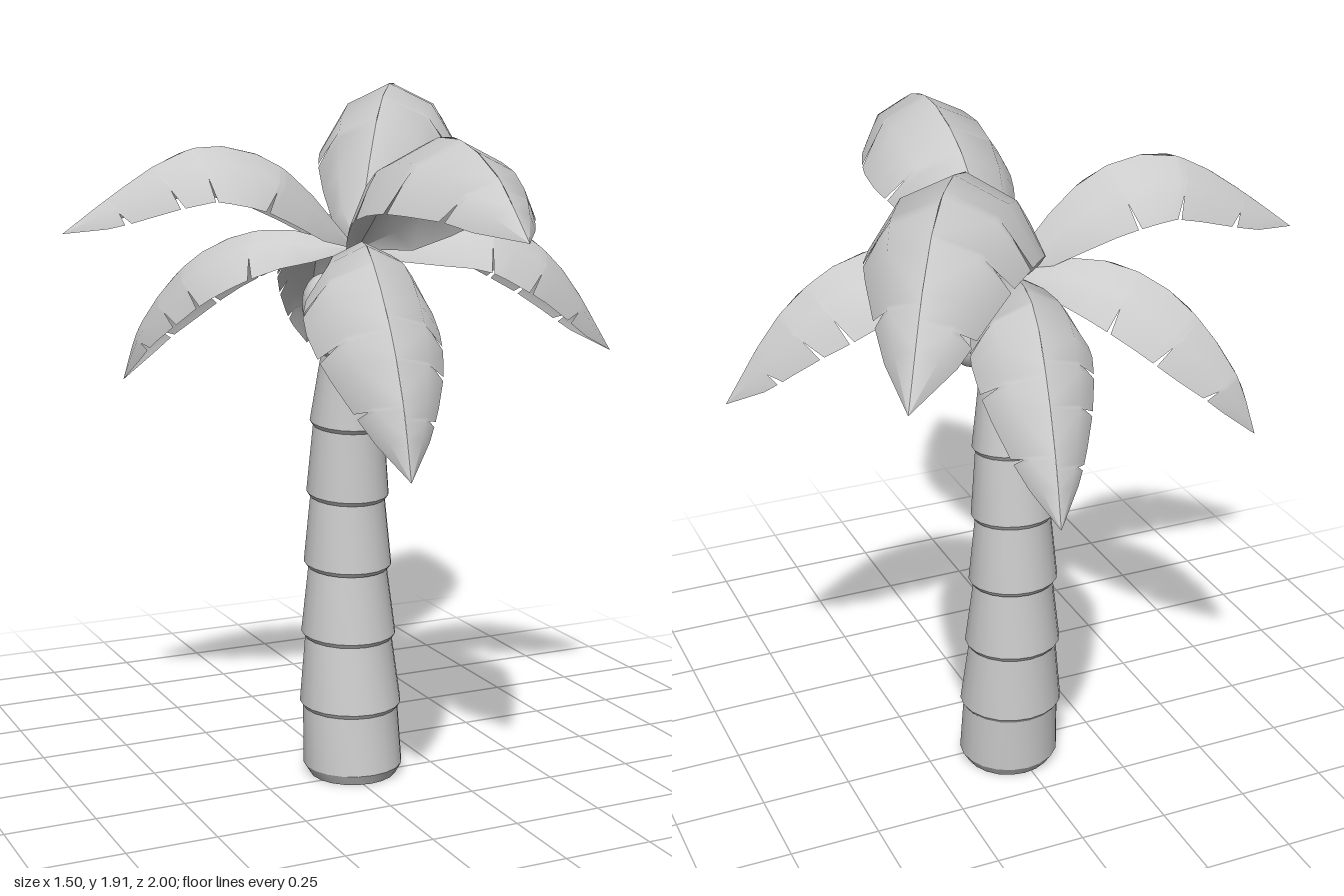
import * as THREE from 'three';
import { toCreasedNormals } from 'three/addons/utils/BufferGeometryUtils.js';

const grey = new THREE.MeshStandardMaterial({ color: 0xcccccc });
const thinGrey = new THREE.MeshStandardMaterial({ color: 0xcccccc, side: THREE.DoubleSide });
const CROWN = new THREE.Vector3(0.03, 1.48, -0.03);
const UP = new THREE.Vector3(0, 1, 0);

// Trunk: one hollow lathe of stacked, tapering collars, bent along a gentle curve
function makeTrunk() {
  const bottomR = [0.14, 0.143, 0.133, 0.123, 0.115, 0.108, 0.088];
  const topR = [0.134, 0.122, 0.11, 0.104, 0.099, 0.082, 0.06];
  const profile = [[0.122, 0]];
  bottomR.forEach((r, i) => {
    const y = i * 0.2;
    profile.push([i ? r - 0.008 : r, y + (i ? -0.006 : 0.03)]);
    if (i) profile.push([r, y + 0.006]);
    profile.push([topR[i], i === 6 ? 1.46 : y + 0.194]);
  });
  profile.push([0, 1.47]);
  const geo = new THREE.LatheGeometry(profile.map(p => new THREE.Vector2(...p)), 20);

  const bend = new THREE.CatmullRomCurve3(
    [-0.04, -0.057, -0.07, -0.075, -0.075, -0.067, -0.052, -0.035].map((z, i) => new THREE.Vector3(0, i * 0.2, z)),
    false, 'catmullrom');
  const pos = geo.attributes.position;
  for (let i = 0; i < pos.count; i++) {
    const y = pos.getY(i), z = pos.getZ(i);
    const centre = bend.getPoint(Math.min(1, y / 1.4));
    const tilt = 0.1 * Math.min(1, y / 0.8);
    pos.setXYZ(i, pos.getX(i) + 0.022, y - z * tilt, z + centre.z);
  }
  const mesh = new THREE.Mesh(toCreasedNormals(geo, 0.5), thinGrey);
  mesh.name = 'trunk';
  return mesh;
}

// Half of a frond: rows along the spine, three points from the spine to the drooping edge
function makeBlade(spine, side, width, sign, notches) {
  const rows = [];
  for (let i = 0; i <= 10; i++) {
    const s = i / 10;
    if (!notches.some(n => Math.abs(n - s) < 0.02)) rows.push({ s, cut: false });
  }
  for (const n of notches) {
    rows.push({ s: n - 0.008, cut: false }, { s: n, cut: true }, { s: n + 0.008, cut: false });
  }
  rows.sort((a, b) => a.s - b.s);

  const verts = [], index = [];
  rows.forEach(({ s, cut }, i) => {
    const p = spine.getPointAt(s);
    const normal = spine.getTangentAt(s).cross(side).normalize();
    const w = width * Math.pow(Math.max(0, Math.sin(Math.PI * Math.pow(s, 0.92))), 0.75);
    const section = [[0, 0], [0.62, 0.3], cut ? [0.76, 0.5] : [1, 0.93]];
    for (const [out, drop] of section) {
      const v = p.clone().addScaledVector(side, sign * out * w).addScaledVector(normal, -drop * w);
      verts.push(v.x, v.y, v.z);
    }
    if (i === rows.length - 1) return;
    for (let j = 0; j < 2; j++) {
      const a = i * 3 + j, b = a + 1, c = a + 3, d = a + 4;
      if (sign > 0) index.push(a, c, b, b, c, d);
      else index.push(a, b, c, b, d, c);
    }
  });
  const geo = new THREE.BufferGeometry();
  geo.setAttribute('position', new THREE.Float32BufferAttribute(verts, 3));
  geo.setIndex(index);
  geo.computeVertexNormals();
  return new THREE.Mesh(geo, thinGrey);
}

// Frond: arching spine from the crown to the tip, with two notched blades
function makeFrond({ tip, arch, width, bow }) {
  const [dx, dz] = [tip[0] - CROWN.x, tip[1] - CROWN.z];
  const side = UP.clone().cross(new THREE.Vector3(dx, 0, dz)).normalize();
  const spine = new THREE.CatmullRomCurve3([[0, 0], ...arch].map(([s, h]) =>
    new THREE.Vector3(dx * s, h, dz * s).add(CROWN).addScaledVector(side, bow * Math.sin(Math.PI * s))));
  const frond = new THREE.Group();
  frond.name = 'frond';
  const left = makeBlade(spine, side, width, 1, [0.32, 0.58, 0.7, 0.85]);
  const right = makeBlade(spine, side, width, -1, [0.4, 0.62, 0.82]);
  left.name = 'leftBlade';
  right.name = 'rightBlade';
  frond.add(left, right);
  return frond;
}

export function createModel() {
  const palm = new THREE.Group();
  palm.name = 'palmTree';
  palm.add(makeTrunk());

  // Tip (x, z); arch as (fraction of the reach, height above the crown); half width; sideways bow
  const fronds = [
    { tip: [0.66, -1.0], width: 0.2, bow: -0.02,
      arch: [[0.13, 0.19], [0.25, 0.33], [0.39, 0.415], [0.5, 0.435], [0.64, 0.415], [0.79, 0.33], [1, 0.12]] },
    { tip: [-0.035, 1.0], width: 0.2, bow: 0.018,
      arch: [[0.12, 0.1], [0.31, 0.26], [0.53, 0.32], [0.79, 0.255], [1, 0.105]] },
    { tip: [-0.75, -0.155], width: 0.15, bow: 0.03,
      arch: [[0.23, 0.2], [0.38, 0.265], [0.54, 0.28], [0.69, 0.235], [0.85, 0.15], [1, 0.06]] },
    { tip: [0.75, 0.11], width: 0.155, bow: -0.01,
      arch: [[0.18, 0.05], [0.38, 0.085], [0.53, 0.075], [0.7, 0], [0.82, -0.09], [1, -0.3]] },
    { tip: [0.2, -0.76], width: 0.15, bow: 0,
      arch: [[0.2, 0.05], [0.39, 0.07], [0.58, 0.05], [0.77, -0.07], [0.92, -0.23], [1, -0.36]] },
    { tip: [-0.17, 0.7], width: 0.17, bow: -0.03,
      arch: [[0.26, 0.04], [0.43, 0.035], [0.645, -0.045], [0.82, -0.18], [0.92, -0.31], [1, -0.48]] },
    { tip: [-0.5, -0.445], width: 0.14, bow: 0.03,
      arch: [[0.25, 0.05], [0.45, 0.04], [0.65, -0.02], [0.82, -0.13], [0.93, -0.24], [1, -0.38]] },
  ];
  fronds.forEach(f => palm.add(makeFrond(f)));

  // Coconuts hanging round the top of the trunk
  const nutGeo = new THREE.SphereGeometry(0.055, 14, 10).scale(1, 1.4, 1);
  const nuts = [[0.15, 1.35, -0.11], [0.03, 1.31, 0.065], [-0.06, 1.34, -0.06], [0.05, 1.36, -0.14]];
  for (const [x, y, z] of nuts) {
    const nut = new THREE.Mesh(nutGeo, grey);
    nut.name = 'coconut';
    nut.position.set(x, y, z);
    nut.rotation.set(-(z + 0.04) * 1.5, 0, (x - 0.02) * 1.5);
    palm.add(nut);
  }
  return palm;
}
